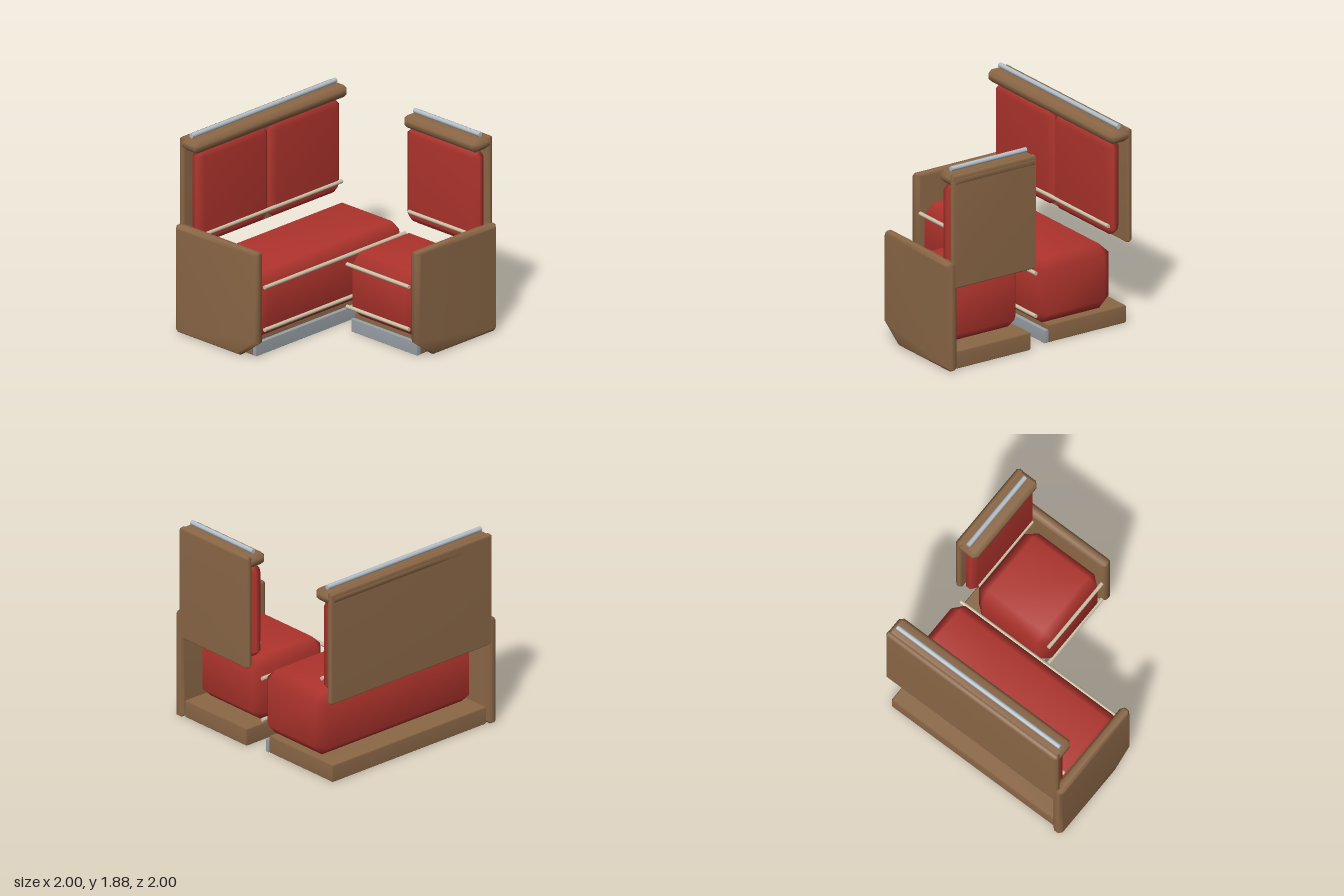
import * as THREE from 'three';
import { ConvexGeometry } from 'three/addons/geometries/ConvexGeometry.js';
import { mergeVertices } from 'three/addons/utils/BufferGeometryUtils.js';

const material = (name, color) => {
  const m = new THREE.MeshStandardMaterial({ color });
  m.name = name;
  return m;
};

// Convex solid with smooth shading over its bevels
function softHull(points) {
  const g = new ConvexGeometry(points);
  g.deleteAttribute('normal');
  if (g.attributes.uv) g.deleteAttribute('uv');
  const merged = mergeVertices(g, 1e-4);
  merged.computeVertexNormals();
  return merged;
}

// Box between two corners, all edges bevelled by the inset on each axis
function bevelBox(min, max, inset) {
  const c = min.map((v, i) => (v + max[i]) / 2);
  const h = min.map((v, i) => (max[i] - v) / 2);
  const points = [];
  for (let axis = 0; axis < 3; axis++) {
    for (const sx of [-1, 1]) for (const sy of [-1, 1]) for (const sz of [-1, 1]) {
      const p = [sx, sy, sz].map((s, i) => c[i] + s * (h[i] - (i === axis ? 0 : inset[i])));
      points.push(new THREE.Vector3(...p));
    }
  }
  return softHull(points);
}

// End panel in the y-z plane, with a cut at the lower front corner
function endPanelGeometry(xa, xb) {
  const outline = [[0, 0.17], [0, 1.0], [-0.02, 1.02], [-0.98, 1.02], [-1, 1.0],
    [-1, 0.02], [-0.98, 0.005], [-0.22, 0.005]];
  const points = [];
  for (const [z, y] of outline) {
    const zi = -0.5 + (z + 0.5) * 0.955;
    const yi = 0.51 + (y - 0.51) * 0.955;
    points.push(
      new THREE.Vector3(xa + 0.028, y, z), new THREE.Vector3(xb - 0.028, y, z),
      new THREE.Vector3(xa, yi, zi), new THREE.Vector3(xb, yi, zi));
  }
  return softHull(points);
}

export function createModel() {
  const wood = material('brown wood', 0x8c6847);
  const red = material('red upholstery', 0xb0342d);
  const beige = material('beige trim', 0xcbc2a6);
  const chrome = material('chrome', 0xb4c0ca);
  const steel = material('grey kick plate', 0x9aa1a7);

  // One bench facing +z, spanning x0..x1, with its end panel on the given side
  function bench(name, x0, x1, side, cushionCentres) {
    const group = new THREE.Group();
    group.name = name;
    const add = (part, geometry, mat) => {
      const mesh = new THREE.Mesh(geometry, mat);
      mesh.name = part;
      group.add(mesh);
      return mesh;
    };
    const box = (part, min, max, inset, mat) => add(part, bevelBox(min, max, inset), mat);
    const rod = (part, xa, xb, y, z, r, mat) => {
      const mesh = add(part, new THREE.CylinderGeometry(r, r, xb - xa, 12), mat);
      mesh.rotation.z = Math.PI / 2;
      mesh.position.set((xa + xb) / 2, y, z);
    };

    // Base and seat
    box('base', [x0, 0.005, -0.965], [x1, 0.168, -0.13], [0.01, 0.01, 0.01], wood);
    box('kickPlate', [x0, 0.005, -0.132], [x1, 0.125, -0.09], [0.004, 0.004, 0.004], steel);
    box('seatCushion', [x0, 0.17, -0.83], [x1, 0.772, -0.02], [0.085, 0.095, 0.1], red);

    // Backrest with its thick top rail
    const b0 = x0 - 0.045, b1 = x1 + 0.045;
    box('backPanel', [b0, 0.77, -1], [b1, 1.835, -0.93], [0.02, 0.02, 0.022], wood);
    box('topRail', [b0, 1.72, -1], [b1, 1.835, -0.768], [0.035, 0.035, 0.035], wood);
    for (const x of cushionCentres) {
      box('backCushion', [x - 0.44, 0.84, -0.93], [x + 0.44, 1.722, -0.79], [0.06, 0.06, 0.045], red);
    }

    // End panel
    const [pa, pb] = side < 0 ? [-1, -0.902] : [0.902, 1];
    add('endPanel', endPanelGeometry(pa, pb), wood);

    // Trim rods and top handrail
    for (const [y, z] of [[0.67, -0.015], [0.27, -0.015], [0.94, -0.79]]) {
      rod('trimRod', x0 + 0.025, x1 - 0.025, y, z, 0.018, beige);
    }
    rod('handrail', x0, x1 - 0.005, 1.862, -0.885, 0.022, chrome);
    return group;
  }

  const model = new THREE.Group();
  model.name = 'cornerBooth';
  model.add(bench('longBench', -0.905, 0.907, -1, [-0.45, 0.45]));
  const short = bench('shortBench', 0.095, 0.905, 1, [0.5]);
  short.rotation.y = -Math.PI / 2;
  model.add(short);
  return model;
}
